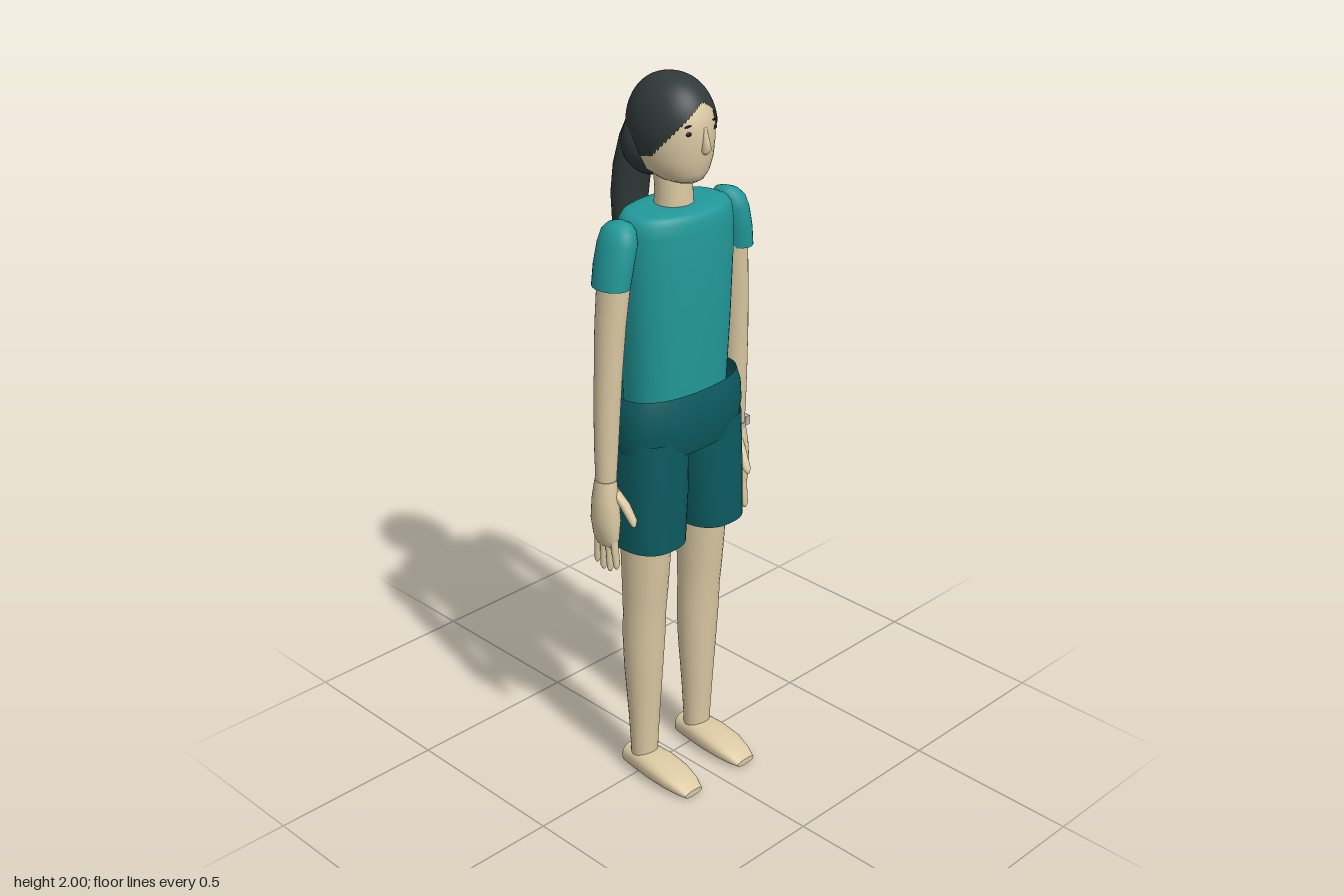
import * as THREE from 'three';

const mat = (name, color, double) => {
  const m = new THREE.MeshStandardMaterial({ color });
  m.name = name;
  if (double) m.side = THREE.DoubleSide;
  return m;
};

// Skin a stack of superellipse rings [y, centreX, centreZ, radiusX, radiusZ], bottom to top
function loft(rings, { n = 28, power = 2, capped = true } = {}) {
  const pos = [], idx = [];
  const curve = v => Math.sign(v) * Math.abs(v) ** (2 / power);
  const addRing = ([y, cx, cz, rx, rz]) => {
    for (let j = 0; j < n; j++) {
      const a = j / n * Math.PI * 2;
      pos.push(cx + rx * curve(Math.sin(a)), y, cz + rz * curve(Math.cos(a)));
    }
  };
  rings.forEach(addRing);
  for (let i = 0; i < rings.length - 1; i++) {
    for (let j = 0; j < n; j++) {
      const a = i * n + j, b = i * n + (j + 1) % n;
      idx.push(a, b, a + n, b, b + n, a + n);
    }
  }
  if (capped) {
    for (const top of [false, true]) {
      const ring = top ? rings[rings.length - 1] : rings[0];
      const start = pos.length / 3;
      addRing(ring);
      pos.push(ring[1], ring[0], ring[2]);
      for (let j = 0; j < n; j++) {
        const a = start + j, b = start + (j + 1) % n;
        if (top) idx.push(a, b, start + n); else idx.push(b, a, start + n);
      }
    }
  }
  const g = new THREE.BufferGeometry();
  g.setAttribute('position', new THREE.Float32BufferAttribute(pos, 3));
  g.setIndex(idx);
  g.computeVertexNormals();
  return g;
}

// Hair cap: an ellipsoid whose lower edge is parted over the face
function hairCap() {
  const g = new THREE.SphereGeometry(1, 72, 28);
  const p = g.attributes.position, uv = g.attributes.uv;
  for (let i = 0; i < p.count; i++) {
    const a = uv.getX(i) * Math.PI * 2 - Math.PI, b = Math.abs(a);
    const edge = b < 1.25 ? 0.98 + 0.95 * (b / 1.25) ** 1.35 : 1.93 + 0.6 * Math.min(1, (b - 1.25) / 0.5);
    const t = (1 - uv.getY(i)) * edge, r = Math.sin(t) ** 0.9;
    p.setXYZ(i, 0.102 * r * Math.sin(a), 1.868 + 0.132 * Math.cos(t), 0.125 * r * Math.cos(a));
  }
  g.computeVertexNormals();
  return g;
}

export function createModel() {
  const skin = mat('skin', 0xdac8a2);
  const shirt = mat('shirt teal', 0x22999a, true);
  const shorts = mat('shorts dark teal', 0x0c5a5f, true);
  const hair = mat('hair charcoal', 0x303a39, true);
  const dark = mat('eye black', 0x1c1c1e);
  const metal = mat('watch grey', 0xbdb5ae);

  const body = new THREE.Group();
  body.name = 'figure';
  body.position.x = -0.007;
  const add = (name, geo, material) => {
    const m = new THREE.Mesh(geo, material);
    m.name = name;
    body.add(m);
    return m;
  };
  const ball = (name, material, x, y, z, rx, ry, rz) => {
    const m = add(name, new THREE.SphereGeometry(1, 24, 16), material);
    m.position.set(x, y, z);
    m.scale.set(rx, ry, rz);
    return m;
  };

  // Shirt, waistband
  add('shirtBody', loft([
    [1.1, 0, 0.013, 0.150, 0.100], [1.19, 0, 0.013, 0.153, 0.103], [1.35, 0, 0.014, 0.161, 0.108],
    [1.52, 0, 0.015, 0.168, 0.109], [1.62, 0, 0.015, 0.169, 0.106], [1.65, 0, 0.015, 0.165, 0.102],
    [1.664, 0, 0.015, 0.155, 0.095], [1.67, 0, 0.015, 0.140, 0.085], [1.672, 0, 0.012, 0.08, 0.06]
  ], { n: 48, power: 2.3 }), shirt);
  add('waistband', loft([
    [1.02, 0, 0.014, 0.192, 0.104], [1.05, 0, 0.014, 0.200, 0.112], [1.10, 0, 0.015, 0.205, 0.118],
    [1.15, 0, 0.015, 0.202, 0.115], [1.19, 0, 0.014, 0.190, 0.106]
  ], { n: 48, power: 2.4, capped: false }), shorts);

  for (const s of [1, -1]) {
    // Legs and feet
    add('shortsLeg', loft([
      [0.757, s * 0.110, 0.012, 0.092, 0.108], [0.9, s * 0.104, 0.012, 0.096, 0.108],
      [1.07, s * 0.098, 0.012, 0.097, 0.104]
    ], { n: 36, power: 2.5, capped: false }), shorts);
    add('leg', loft([
      [0.03, s * 0.105, -0.003, 0.038, 0.036], [0.1, s * 0.105, -0.003, 0.041, 0.037],
      [0.2, s * 0.105, -0.003, 0.046, 0.043], [0.35, s * 0.105, -0.004, 0.055, 0.054],
      [0.45, s * 0.105, -0.002, 0.060, 0.058], [0.53, s * 0.105, 0.001, 0.060, 0.059],
      [0.6, s * 0.105, 0.004, 0.062, 0.064], [0.75, s * 0.105, 0.008, 0.066, 0.073],
      [1.0, s * 0.098, 0.01, 0.074, 0.085]
    ]), skin);
    add('foot', loft([
      [-0.055, s * 0.105, -0.036, 0.038, 0.031], [0.0, s * 0.105, -0.039, 0.047, 0.036],
      [0.06, s * 0.105, -0.037, 0.053, 0.034], [0.12, s * 0.105, -0.031, 0.052, 0.028],
      [0.165, s * 0.105, -0.022, 0.043, 0.019], [0.193, s * 0.105, -0.013, 0.032, 0.009]
    ], { power: 2.5 }).rotateX(Math.PI / 2), skin);

    // Sleeves, arms and hands
    add('sleeve', loft([
      [1.505, s * 0.221, 0.01, 0.043, 0.055], [1.56, s * 0.212, 0.011, 0.045, 0.057],
      [1.615, s * 0.199, 0.012, 0.044, 0.057], [1.645, s * 0.194, 0.012, 0.037, 0.050],
      [1.66, s * 0.190, 0.012, 0.026, 0.036], [1.667, s * 0.188, 0.012, 0.010, 0.015]
    ]), shirt);
    add('arm', loft([
      [0.96, s * 0.241, 0.002, 0.027, 0.027], [1.05, s * 0.239, 0.003, 0.031, 0.031],
      [1.15, s * 0.236, 0.004, 0.034, 0.034], [1.27, s * 0.231, 0.006, 0.035, 0.038],
      [1.4, s * 0.222, 0.007, 0.037, 0.043], [1.5, s * 0.212, 0.009, 0.038, 0.047],
      [1.6, s * 0.202, 0.01, 0.036, 0.045]
    ]), skin);
    add('hand', loft([
      [0.785, s * 0.244, 0.003, 0.013, 0.034], [0.81, s * 0.244, 0.003, 0.025, 0.042],
      [0.86, s * 0.244, 0.002, 0.034, 0.045], [0.92, s * 0.244, 0.002, 0.033, 0.039],
      [0.975, s * 0.242, 0.002, 0.028, 0.030]
    ]), skin);
    for (let f = 0; f < 4; f++) {
      const z = 0.031 - f * 0.018, tip = z * 1.35, end = [0.725, 0.71, 0.708, 0.72][f];
      add('finger', loft([
        [end, s * 0.245, tip, 0.004, 0.003], [end + 0.012, s * 0.245, tip, 0.010, 0.008],
        [0.83, s * 0.245, z, 0.012, 0.010]
      ], { n: 12 }), skin);
    }
    add('thumb', loft([
      [0.855, s * 0.216, 0.078, 0.006, 0.006], [0.87, s * 0.215, 0.072, 0.013, 0.012],
      [0.91, s * 0.220, 0.047, 0.015, 0.015], [0.945, s * 0.230, 0.02, 0.015, 0.014]
    ], { n: 14 }), skin);

    // Eyes and brows
    ball('eye', dark, s * 0.043, 1.874, 0.104, 0.010, 0.006, 0.004);
    ball('eyebrow', dark, s * 0.043, 1.893, 0.102, 0.014, 0.0025, 0.004).rotation.z = -s * 0.12;
  }

  // Neck and head
  add('neck', loft([
    [1.655, 0, 0.008, 0.053, 0.050], [1.70, 0, 0.008, 0.050, 0.048], [1.8, 0, 0.004, 0.050, 0.048]
  ]), skin);
  add('head', loft([
    [1.736, 0, 0.040, 0.030, 0.040], [1.745, 0, 0.030, 0.052, 0.066], [1.765, 0, 0.018, 0.075, 0.088],
    [1.80, 0, 0.008, 0.091, 0.106], [1.84, 0, 0.002, 0.096, 0.116], [1.88, 0, 0, 0.097, 0.118],
    [1.92, 0, 0, 0.089, 0.109], [1.955, 0, 0, 0.068, 0.084], [1.98, 0, 0, 0.03, 0.035]
  ], { n: 40 }), skin);
  add('nose', loft([
    [1.818, 0, 0.117, 0.007, 0.006], [1.83, 0, 0.120, 0.013, 0.014],
    [1.85, 0, 0.118, 0.009, 0.012], [1.885, 0, 0.112, 0.006, 0.007]
  ], { n: 14 }), skin);

  // Hair with gathered back and ponytail
  add('hairCap', hairCap(), hair);
  ball('gatheredHair', hair, 0, 1.822, -0.052, 0.101, 0.092, 0.077);
  add('ponytail', loft([
    [1.438, 0, -0.138, 0.008, 0.006], [1.455, 0, -0.142, 0.022, 0.019], [1.50, 0, -0.150, 0.036, 0.028],
    [1.58, 0, -0.154, 0.050, 0.037], [1.66, 0, -0.151, 0.057, 0.040], [1.74, 0, -0.140, 0.058, 0.040],
    [1.82, 0, -0.120, 0.053, 0.038], [1.88, 0, -0.102, 0.040, 0.030], [1.91, 0, -0.09, 0.018, 0.014]
  ]), hair);

  // Wristwatch on the left arm
  const strap = add('watchStrap', new THREE.CylinderGeometry(0.032, 0.032, 0.016, 28), metal);
  strap.position.set(0.241, 0.973, 0.002);
  const face = add('watchFace', new THREE.BoxGeometry(0.016, 0.026, 0.034), metal);
  face.position.set(0.276, 0.973, 0.002);
  const dial = add('watchDial', new THREE.BoxGeometry(0.008, 0.018, 0.02), metal);
  dial.position.set(0.287, 0.973, 0.002);

  const model = new THREE.Group();
  model.name = 'model';
  model.add(body);
  return model;
}
